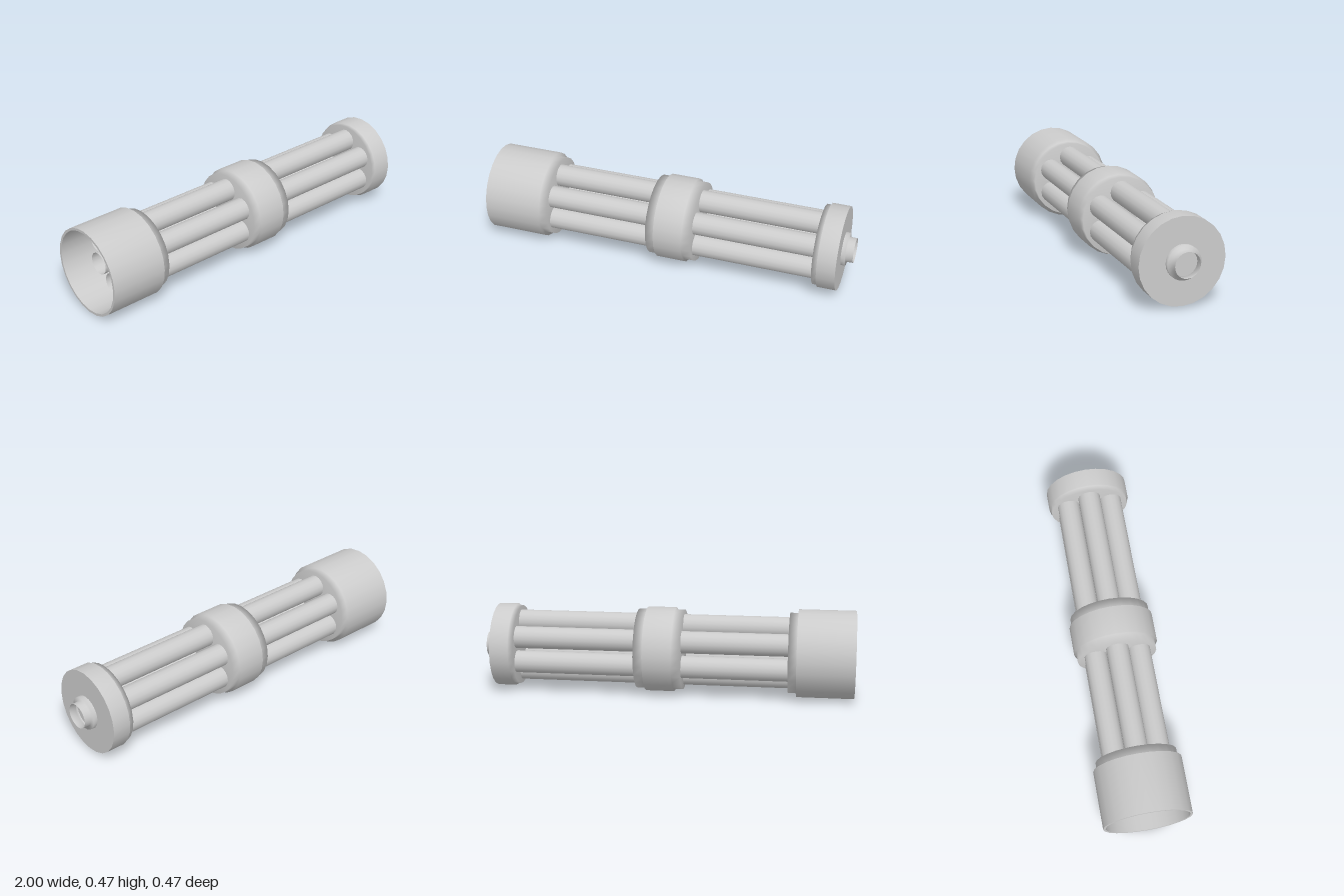
import * as THREE from 'three';

const AXIS_Y = 0.235;
const SIDES = 24;
const material = new THREE.MeshStandardMaterial({ color: 0xcccccc });
const openMaterial = new THREE.MeshStandardMaterial({ color: 0xcccccc, side: THREE.DoubleSide });

// Turns a profile of [radius, x] points round the long axis; a repeated point makes a sharp edge
function turned(name, profile, sides = SIDES, mat = material) {
  const points = profile.map(([r, x]) => new THREE.Vector2(r, x));
  const geometry = new THREE.LatheGeometry(points, sides);
  geometry.rotateZ(-Math.PI / 2);
  const mesh = new THREE.Mesh(geometry, mat);
  mesh.name = name;
  return mesh;
}

export function createModel() {
  const model = new THREE.Group();
  model.name = 'rotaryBarrelAssembly';
  const assembly = new THREE.Group();
  assembly.name = 'barrelCluster';
  assembly.position.y = AXIS_Y;
  model.add(assembly);

  // Hollow muzzle shroud with a stepped collar behind it
  assembly.add(turned('muzzleShroud', [
    [0, -0.7], [0.222, -0.7], [0.222, -0.7], [0.222, -1], [0.222, -1],
    [0.235, -1], [0.235, -1], [0.235, -0.695], [0.215, -0.695],
    [0.215, -0.65], [0, -0.65],
  ]));

  // Middle clamp: wide band between two narrower collars
  assembly.add(turned('middleClamp', [
    [0, -0.085], [0.215, -0.085], [0.215, -0.037], [0.228, -0.037],
    [0.228, 0.115], [0.215, 0.115], [0.215, 0.165], [0, 0.165],
  ]));

  // Rear plate with a flat outer face
  assembly.add(turned('rearPlate', [
    [0, 0.815], [0.215, 0.815], [0.215, 0.842], [0.225, 0.842],
    [0.225, 0.94], [0.225, 0.94], [0, 0.94],
  ]));

  // Open drive socket stepped out of the rear plate
  assembly.add(turned('driveSocket', [
    [0.088, 0.94], [0.088, 0.962], [0.066, 0.962], [0.066, 1],
  ], SIDES, openMaterial));

  // Six open barrels, their muzzles set back inside the shroud
  for (let i = 0; i < 6; i++) {
    const angle = (i * Math.PI) / 3;
    const barrel = turned('barrel', [[0.06, -0.85], [0.06, 0.82]], 16, openMaterial);
    barrel.position.set(0, 0.135 * Math.cos(angle), 0.135 * Math.sin(angle));
    assembly.add(barrel);
  }

  return model;
}
